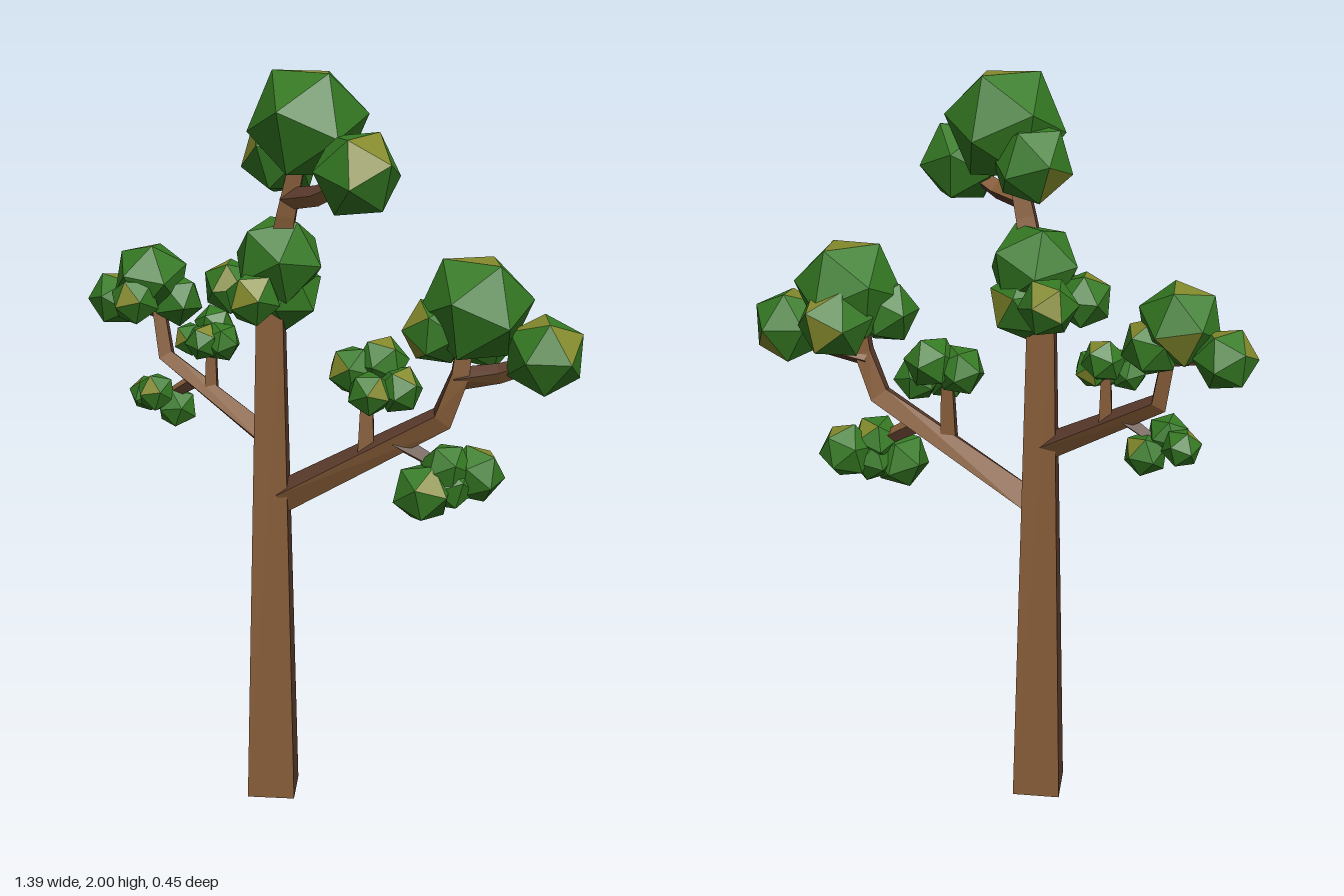
import * as THREE from 'three';

const mat = (name, color, side = THREE.FrontSide) => {
  const m = new THREE.MeshStandardMaterial({ color, flatShading: true, side });
  m.name = name;
  return m;
};

const V = (p) => new THREE.Vector3(...p);

// Tapered four-sided limb swept through points [x, y, z, radius];
// neighbouring sides alternate between two materials
function limbGeometry(points) {
  const centres = points.map((p) => V(p));
  const ref = new THREE.Vector3(-0.43, 0, 0.9);
  const pos = [], sides = [[], []];
  centres.forEach((c, i) => {
    const t = new THREE.Vector3();
    if (i > 0) t.add(c.clone().sub(centres[i - 1]).normalize());
    if (i < centres.length - 1) t.add(centres[i + 1].clone().sub(c).normalize());
    t.normalize();
    const u = ref.clone().addScaledVector(t, -ref.dot(t)).normalize();
    const v = t.clone().cross(u);
    for (let k = 0; k < 4; k++) {
      const a = (k * Math.PI) / 2, r = points[i][3];
      pos.push(...c.clone().addScaledVector(u, r * Math.cos(a)).addScaledVector(v, r * Math.sin(a)));
      if (i === centres.length - 1) continue;
      const p = i * 4 + k, q = i * 4 + ((k + 1) % 4);
      sides[k % 2].push(p, q, q + 4, p, q + 4, p + 4);
    }
  });
  const g = new THREE.BufferGeometry();
  g.setAttribute('position', new THREE.Float32BufferAttribute(pos, 3));
  g.setIndex([...sides[0], ...sides[1]]);
  const flat = g.toNonIndexed();
  flat.computeVertexNormals();
  flat.addGroup(0, sides[0].length, 0);
  flat.addGroup(sides[0].length, sides[1].length, 1);
  return flat;
}

// Icosahedron with one face turned to the first direction; the faces nearest
// to the listed directions take the second material
function leafGeometry(radius, dirs) {
  const g = new THREE.IcosahedronGeometry(radius, 0);
  const p = g.attributes.position;
  const faceNormal = (f) => {
    const n = new THREE.Vector3();
    for (let k = 0; k < 3; k++) n.add(new THREE.Vector3().fromBufferAttribute(p, f * 3 + k));
    return n.normalize();
  };
  const targets = dirs.map((d) => V(d).normalize());
  g.applyQuaternion(new THREE.Quaternion().setFromUnitVectors(faceNormal(0), targets[0]));
  const normals = Array.from({ length: 20 }, (_, f) => faceNormal(f));
  const yellow = new Set(targets.map((t) => {
    const dots = normals.map((n) => n.dot(t));
    return dots.indexOf(Math.max(...dots));
  }));
  for (let f = 0; f < 20; f++) g.addGroup(f * 3, 3, yellow.has(f) ? 1 : 0);
  return g;
}

export function createModel() {
  const tree = new THREE.Group();
  tree.name = 'tree';
  const bark = [
    mat('light brown bark', 0x875d38, THREE.DoubleSide),
    mat('dark brown bark', 0x5c3c2d, THREE.DoubleSide),
  ];
  const foliage = [mat('green leaves', 0x357a23), mat('yellow green leaves', 0x848a2c)];

  // Trunk and branches
  const limbs = {
    trunk: [[-0.105, 0, 0.022, 0.093], [-0.102, 1.44, 0.022, 0.048]],
    crownBranch: [[-0.1, 1.42, 0.022, 0.046], [-0.045, 1.64, 0.045, 0.034], [0, 1.82, 0.05, 0.025]],
    crownSideBranch: [[-0.04, 1.68, 0.05, 0.028], [0.06, 1.695, 0.09, 0.026], [0.17, 1.74, 0.12, 0.018]],
    leftBranch: [[-0.07, 0.88, 0.02, 0.044], [0.36, 1.13, -0.03, 0.037], [0.405, 1.25, -0.035, 0.032], [0.42, 1.4, -0.04, 0.025]],
    leftOuterBranch: [[0.39, 1.235, -0.035, 0.03], [0.5, 1.255, -0.06, 0.026], [0.6, 1.29, -0.08, 0.02]],
    leftUprightTwig: [[0.16, 1.02, -0.005, 0.03], [0.16, 1.22, -0.01, 0.02]],
    leftLowTwig: [[0.24, 1.065, -0.01, 0.026], [0.4, 0.975, -0.05, 0.016]],
    rightBranch: [[-0.1, 1.03, 0.02, 0.036], [-0.45, 1.225, -0.03, 0.028], [-0.485, 1.42, -0.04, 0.022]],
    rightOuterTwig: [[-0.475, 1.345, -0.035, 0.02], [-0.61, 1.37, -0.06, 0.013]],
    rightUprightTwig: [[-0.3, 1.14, -0.01, 0.024], [-0.3, 1.3, -0.015, 0.016]],
    rightLowTwig: [[-0.35, 1.17, -0.015, 0.022], [-0.45, 1.11, -0.01, 0.014]],
  };
  for (const [name, points] of Object.entries(limbs)) {
    const mesh = new THREE.Mesh(limbGeometry(points), bark);
    mesh.name = name;
    tree.add(mesh);
  }

  // Leaf clumps: x, y, z, radius, then directions of the yellow faces
  const clumps = {
    crownLeaves: [
      [0.015, 1.87, 0.045, 0.155, [0.05, 1, 0]],
      [0.18, 1.755, 0.12, 0.114, [0.6, 0.8, 0.3], [0.9, 0.2, 0.4]],
      [-0.075, 1.785, 0.01, 0.108, [-0.7, -0.4, -0.2], [-0.5, 0.3, 0.8]],
    ],
    trunkTopLeaves: [
      [-0.08, 1.52, 0.02, 0.123, [0.1, -1, -0.2]],
      [-0.07, 1.43, -0.01, 0.098, [0.5, 0.1, -0.9], [0.7, -0.5, -0.6]],
      [-0.21, 1.445, 0.04, 0.077, [-0.4, 1, 0.2], [0.1, 0.2, 1]],
      [-0.11, 1.43, 0.11, 0.075, [0, 0.2, 1], [0.2, 0.8, 0.6]],
      [-0.17, 1.45, -0.085, 0.078, [-0.5, 0.2, -0.8], [0.5, 1, -0.4]],
    ],
    rightLeaves: [
      [-0.5, 1.438, -0.04, 0.108, [-0.2, 1, 0], [0, -0.2, -1]],
      [-0.625, 1.37, -0.06, 0.08, [0.2, 1, 0], [-0.9, 0.2, 0.4]],
      [-0.44, 1.38, -0.07, 0.078, [0.4, 0.9, -0.4]],
      [-0.51, 1.385, 0.03, 0.07, [0.1, 0.3, 1], [-0.3, 0.8, 0.6]],
    ],
    rightMiddleLeaves: [
      [-0.355, 1.285, 0, 0.05, [-0.4, 0.2, 1]],
      [-0.305, 1.32, -0.045, 0.058, [0.3, 1, -0.4]],
      [-0.265, 1.285, -0.005, 0.056, [0, -0.2, -1]],
      [-0.305, 1.285, 0.02, 0.052, [0.5, 1, 0.4]],
    ],
    rightLowLeaves: [
      [-0.51, 1.115, -0.02, 0.052, [-0.6, 0.8, 0.3]],
      [-0.46, 1.13, 0.015, 0.057, [0.1, 0.5, 1]],
      [-0.415, 1.085, -0.02, 0.06, [0.4, 0.6, -0.7]],
    ],
    leftLeaves: [
      [0.435, 1.42, -0.05, 0.15, [0.05, 1, 0]],
      [0.61, 1.308, -0.08, 0.108, [-0.3, 1, 0.2], [0.9, 0.3, 0.25], [0.2, -0.3, -1]],
      [0.345, 1.36, -0.01, 0.09, [-0.5, 0.6, 0.6], [-0.5, -0.5, 0.6]],
      [0.43, 1.35, -0.13, 0.106, [0.2, 0.9, -0.5], [-0.4, -0.2, -1]],
    ],
    leftMiddleLeaves: [
      [0.11, 1.235, -0.03, 0.07, [-0.4, 0.3, 0.9]],
      [0.18, 1.255, -0.06, 0.074, [0.2, 1, 0.2]],
      [0.24, 1.195, -0.03, 0.066, [0.5, 0.8, 0.3]],
      [0.18, 1.19, 0.025, 0.062, [0.8, 0.3, 0.6]],
    ],
    leftLowLeaves: [
      [0.325, 0.938, 0.01, 0.084, [0.6, 0.5, 0.6]],
      [0.435, 0.975, -0.09, 0.08, [0.3, 1, -0.2]],
      [0.375, 1.0, -0.03, 0.07, [0.2, 0.7, -0.7]],
      [0.38, 0.95, -0.04, 0.07, [0, -1, 0.2]],
    ],
  };
  for (const [name, balls] of Object.entries(clumps)) {
    const clump = new THREE.Group();
    clump.name = name;
    balls.forEach(([x, y, z, r, ...dirs], i) => {
      const mesh = new THREE.Mesh(leafGeometry(r, dirs), foliage);
      mesh.name = `${name}Ball${i + 1}`;
      mesh.position.set(x, y, z);
      clump.add(mesh);
    });
    tree.add(clump);
  }
  return tree;
}
